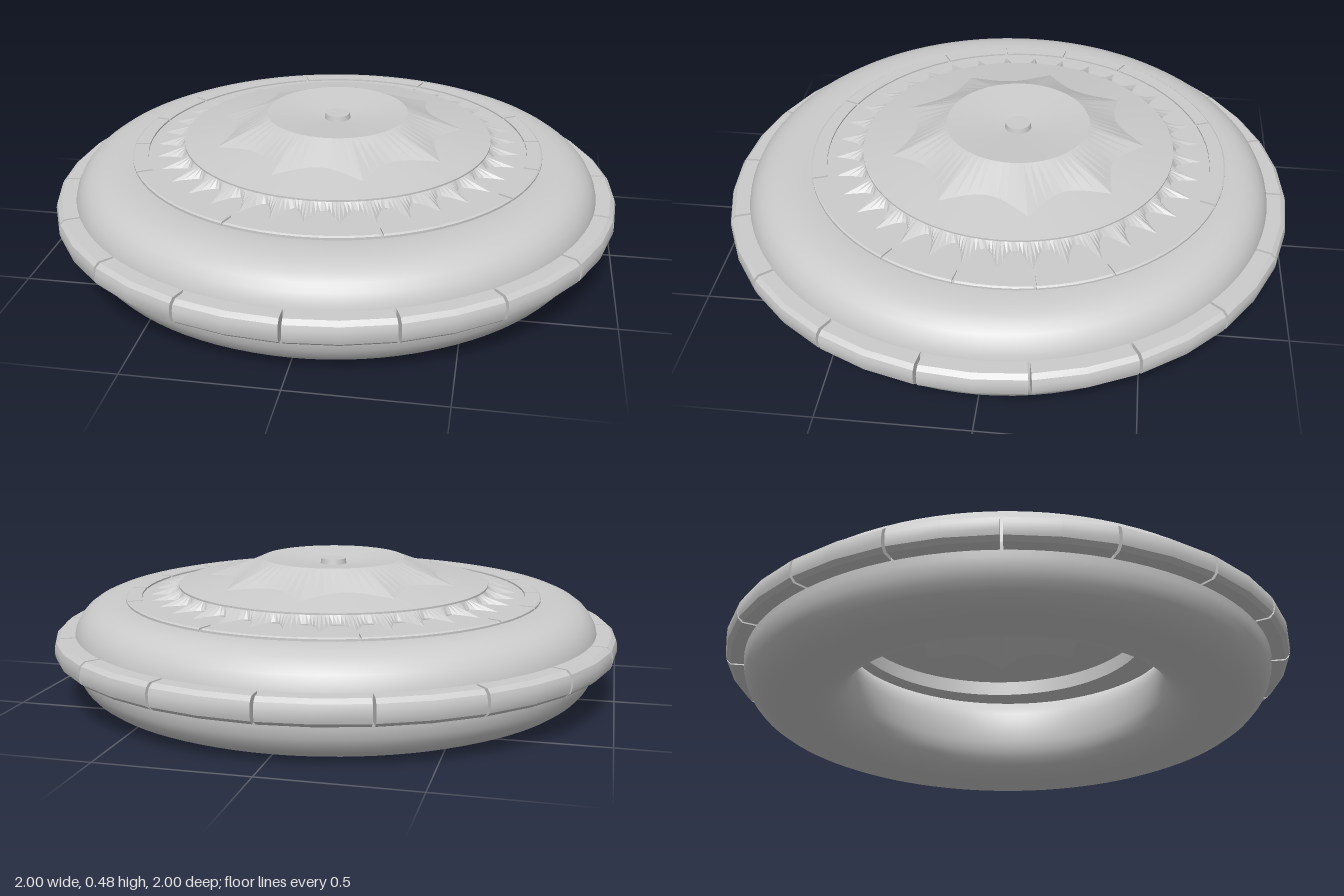
import * as THREE from 'three';
import { toCreasedNormals } from 'three/addons/utils/BufferGeometryUtils.js';

const RAD = Math.PI / 180;
const material = new THREE.MeshStandardMaterial({ color: 0xcccccc, side: THREE.DoubleSide });
const flatMaterial = new THREE.MeshStandardMaterial({ color: 0xcccccc, side: THREE.DoubleSide, flatShading: true });

function add(parent, name, geometry, mat = material) {
  const mesh = new THREE.Mesh(geometry, mat);
  mesh.name = name;
  parent.add(mesh);
  return mesh;
}

const lathe = (pts, segments = 72) =>
  new THREE.LatheGeometry(pts.map(([r, y]) => new THREE.Vector2(r, y)), segments);

// Profile in (radius, height) swept from angle a0 to a1 in degrees, 0 pointing to the back, with end caps
function arcBlock(profile, a0, a1, steps) {
  const shape = new THREE.Shape(profile.map(([r, y]) => new THREE.Vector2(r, y)));
  const geo = new THREE.ExtrudeGeometry(shape, { depth: a1 - a0, steps, bevelEnabled: false });
  const pos = geo.attributes.position;
  for (let i = 0; i < pos.count; i++) {
    const r = pos.getX(i), a = (a0 + pos.getZ(i) - 90) * RAD;
    pos.setXYZ(i, r * Math.cos(a), pos.getY(i), r * Math.sin(a));
  }
  return toCreasedNormals(geo, 0.35);
}

// Scalloped outline: sharp tips joined by concave curves
function star(count, tip, valley) {
  return (deg) => {
    const step = 360 / count;
    const f = (deg / step) % 1;
    const t = 2 * Math.min(f, 1 - f);
    const k = (1 - t) ** 2;
    return [0, 1].map((j) => valley[j] + (tip[j] - valley[j]) * k);
  };
}
const circle = (r, y) => () => [r, y];

// Surface between an inner and an outer outline, facing up
function skirt(inner, outer, n) {
  const pos = [], index = [];
  for (let i = 0; i <= n; i++) {
    const deg = (i / n) * 360, s = Math.sin(deg * RAD), c = Math.cos(deg * RAD);
    for (const [r, y] of [inner(deg), outer(deg)]) pos.push(r * s, y, -r * c);
    if (i < n) {
      const a = i * 2;
      index.push(a, a + 2, a + 1, a + 1, a + 2, a + 3);
    }
  }
  const geo = new THREE.BufferGeometry();
  geo.setAttribute('position', new THREE.Float32BufferAttribute(pos, 3));
  geo.setIndex(index);
  geo.computeVertexNormals();
  return geo;
}

export function createModel() {
  const model = new THREE.Group();
  model.name = 'roundFloat';

  // Inflated body with a squarish oval section
  const section = [];
  const power = (v) => Math.sign(v) * Math.abs(v) ** 0.8;
  for (let i = 0; i <= 32; i++) {
    const a = (i / 32) * Math.PI * 2;
    section.push([0.745 + 0.19 * power(Math.cos(a)), 0.174 + 0.174 * power(Math.sin(a))]);
  }
  add(model, 'tubeBody', lathe(section, 96));

  // Bumper around the waist, in separate blocks
  const bumper = new THREE.Group();
  bumper.name = 'bumper';
  model.add(bumper);
  const bumperProfile = [[0.91, 0.15], [0.98, 0.15], [0.995, 0.163], [1, 0.18],
    [1, 0.205], [0.995, 0.222], [0.98, 0.235], [0.91, 0.235]];
  for (let i = 0; i < 18; i++) {
    add(bumper, 'bumperBlock', arcBlock(bumperProfile, i * 20 + 0.3, i * 20 + 19.7, 2));
  }

  // Lid sits slightly towards the back
  const lid = new THREE.Group();
  lid.name = 'lid';
  lid.position.z = -0.035;
  model.add(lid);

  // Flat flange with raised rim panels
  add(lid, 'flange', toCreasedNormals(
    lathe([[0.55, 0.335], [0.733, 0.335], [0.733, 0.352], [0.55, 0.352], [0.55, 0.335]]), 0.5));
  const joints = [20, 60, 80, 100, 120, 160, 200, 240, 260, 280, 300, 340, 380];
  const panel = [[0.68, 0.345], [0.735, 0.345], [0.735, 0.354], [0.729, 0.358], [0.68, 0.358]];
  for (let i = 0; i < joints.length - 1; i++) {
    const a0 = joints[i] + 0.4, a1 = joints[i + 1] - 0.4;
    add(lid, 'rimPanel', arcBlock(panel, a0, a1, Math.round((a1 - a0) / 5)));
  }

  // Raised step with pointed teeth spreading over the flange
  add(lid, 'stepWall', lathe([[0.55, 0.335], [0.55, 0.392]]));
  add(lid, 'teeth', skirt(circle(0.55, 0.386), star(36, [0.65, 0.355], [0.562, 0.36]), 288), flatMaterial);

  // Sloping plate with a star opening, filled by the faceted dome
  const opening = star(9, [0.45, 0.407], [0.365, 0.421]);
  add(lid, 'plate', skirt(opening, circle(0.55, 0.392), 144));
  add(lid, 'dome', skirt(circle(0.252, 0.48), opening, 72), flatMaterial);

  // Dished top and centre button
  add(lid, 'dish', lathe([[0.252, 0.48], [0.12, 0.465], [0, 0.452]]));
  const button = add(lid, 'button', new THREE.CylinderGeometry(0.043, 0.047, 0.022, 32));
  button.position.y = 0.464;

  return model;
}
